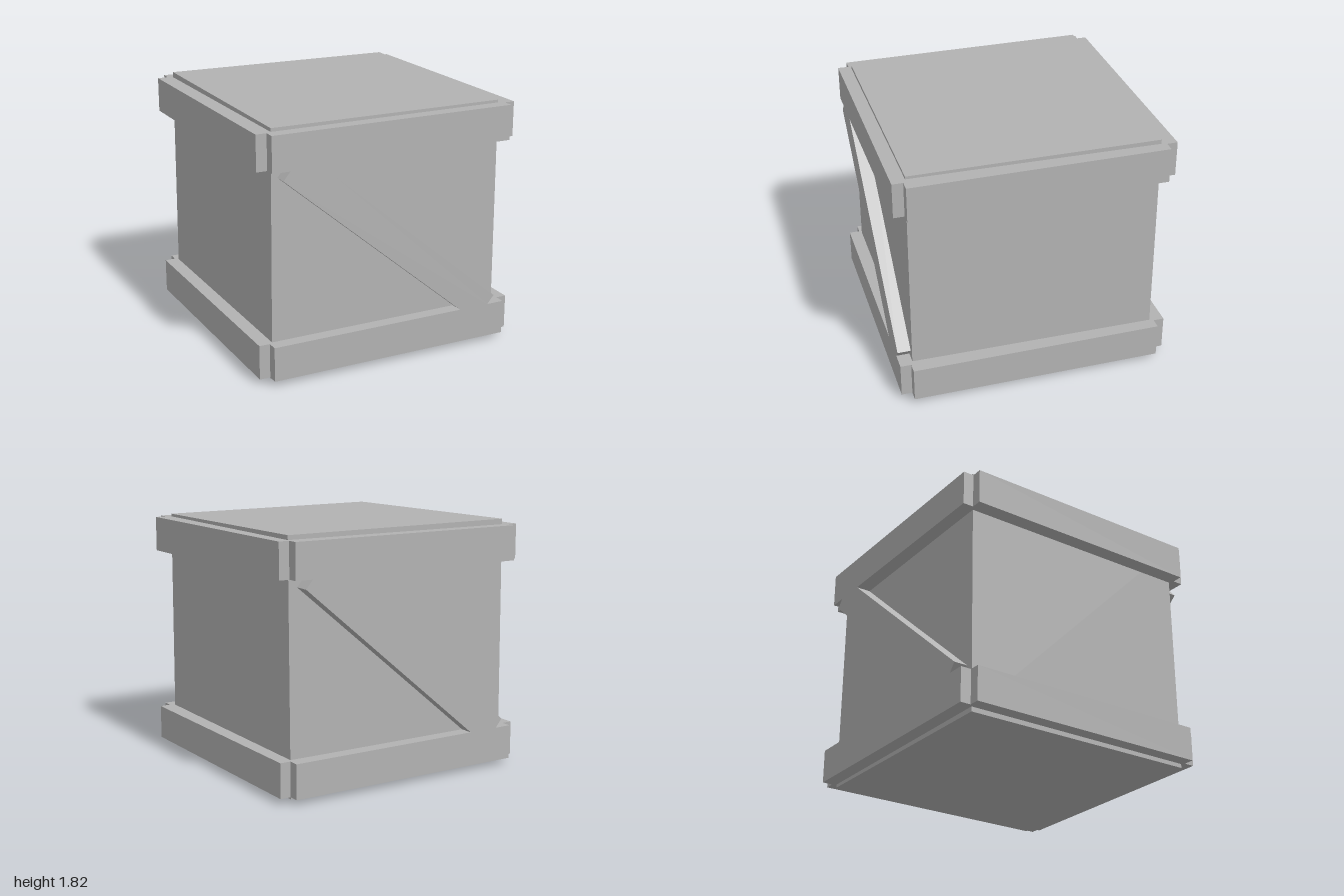
import * as THREE from 'three';

const wood = new THREE.MeshStandardMaterial({ color: 0xb2b2b2 });
wood.name = 'grey wood';

function add(group, name, geometry) {
  const mesh = new THREE.Mesh(geometry, wood);
  mesh.name = name;
  group.add(mesh);
  return mesh;
}

const shapeOf = (points) => new THREE.Shape(points.map(([x, y]) => new THREE.Vector2(x, y)));

// Slightly warped box: each corner is nudged, keyed by the signs of x, y and z
function coreGeometry() {
  const corners = {
    '-1,-1,-1': [-0.9, 0.005, -0.9], '1,-1,-1': [0.905, 0.015, -0.895],
    '-1,-1,1': [-0.9, 0.01, 0.905], '1,-1,1': [0.885, 0, 0.905],
    '-1,1,-1': [-0.885, 1.815, -0.9], '1,1,-1': [0.91, 1.807, -0.885],
    '-1,1,1': [-0.885, 1.8, 0.905], '1,1,1': [0.88, 1.795, 0.9],
  };
  const geometry = new THREE.BoxGeometry(2, 2, 2);
  const pos = geometry.attributes.position;
  for (let i = 0; i < pos.count; i++) {
    pos.setXYZ(i, ...corners[[pos.getX(i), pos.getY(i), pos.getZ(i)].join()]);
  }
  geometry.computeVertexNormals();
  return geometry;
}

// Band of four planks around the core, with a notch at each corner
function bandGeometry(height) {
  const o = 1, n = 0.922, h = 0.86;
  const shape = shapeOf([
    [-n, -o], [n, -o], [n, -n], [o, -n], [o, n], [n, n],
    [n, o], [-n, o], [-n, n], [-o, n], [-o, -n], [-n, -n],
  ]);
  shape.holes.push(shapeOf([[-h, -h], [-h, h], [h, h], [h, -h]]));
  return new THREE.ExtrudeGeometry(shape, { depth: height, bevelEnabled: false }).rotateX(-Math.PI / 2);
}

// Diagonal board, cut off where it meets the bands
function braceGeometry() {
  const shape = shapeOf([
    [-0.555, 1.52], [-0.79, 1.52], [-0.842, 1.458],
    [0.555, 0.29], [0.79, 0.29], [0.842, 0.352],
  ]);
  return new THREE.ExtrudeGeometry(shape, { depth: 0.14, bevelEnabled: false }).translate(0, 0, 0.86);
}

export function createModel() {
  const crate = new THREE.Group();
  crate.name = 'crate';

  add(crate, 'core', coreGeometry());
  add(crate, 'lowerBand', bandGeometry(0.25)).position.y = 0.04;
  add(crate, 'upperBand', bandGeometry(0.255)).position.y = 1.52;

  // The same brace on the front and, turned round, on the back
  const brace = braceGeometry();
  add(crate, 'frontBrace', brace);
  add(crate, 'backBrace', brace).rotation.y = Math.PI;

  return crate;
}
